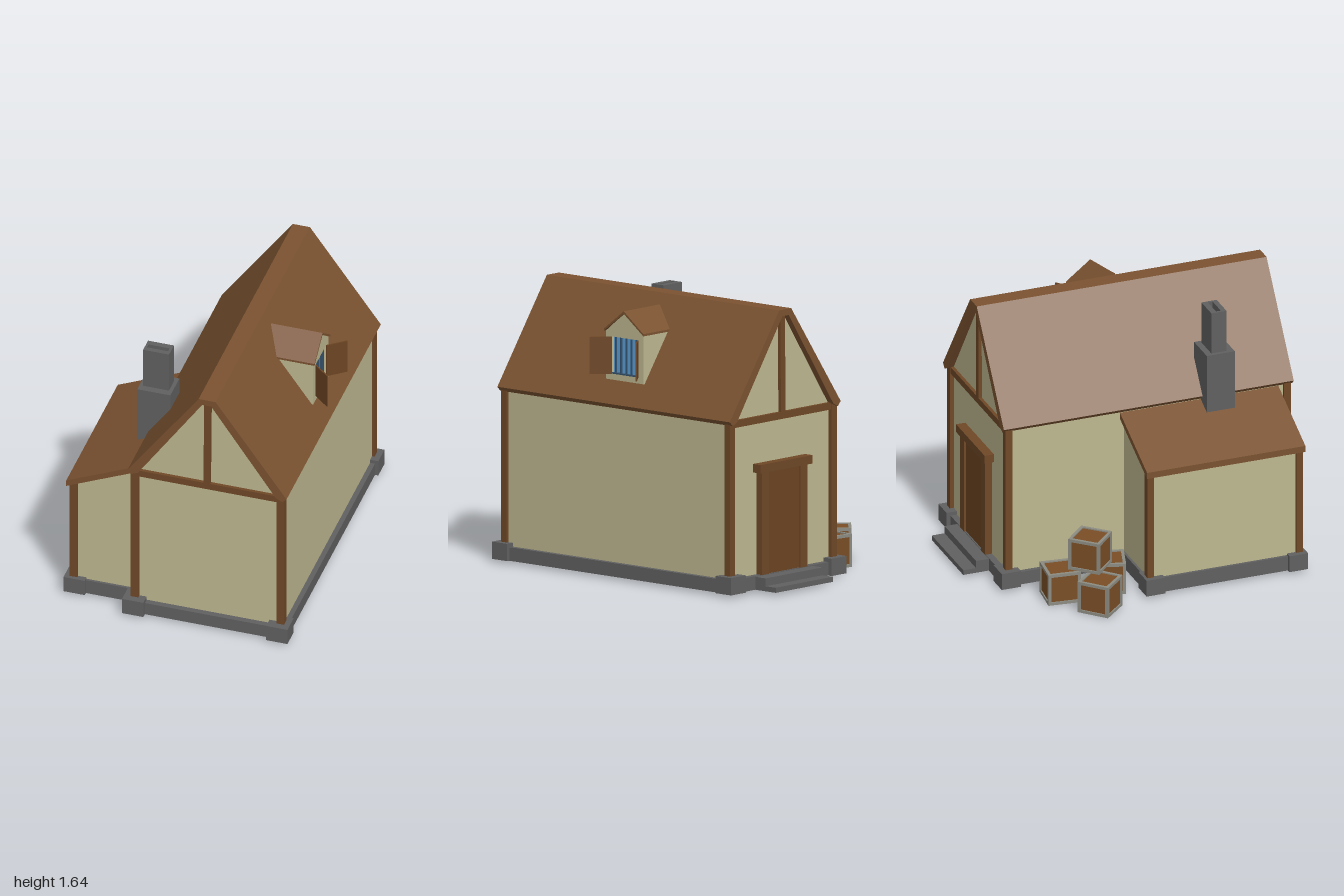
import * as THREE from 'three';

const mat = (color) => new THREE.MeshStandardMaterial({ color });
const M = {
  plaster: mat(0xbdb78f), roof: mat(0x7a5230), beam: mat(0x6f4827), door: mat(0x6b4422),
  stone: mat(0x606060), glass: mat(0x5c9fd6), bars: mat(0x35516b),
  crate: mat(0x7a4e26), trim: mat(0x8c8c82),
};

export function createModel() {
  const root = new THREE.Group();
  root.name = 'cottage';

  const add = (parent, name, geo, material) => {
    const mesh = new THREE.Mesh(geo, material);
    mesh.name = name;
    parent.add(mesh);
    return mesh;
  };
  // Box given by its extents
  const box = (parent, name, material, x0, x1, y0, y1, z0, z1) => {
    const mesh = add(parent, name, new THREE.BoxGeometry(x1 - x0, y1 - y0, z1 - z0), material);
    mesh.position.set((x0 + x1) / 2, (y0 + y1) / 2, (z0 + z1) / 2);
    return mesh;
  };
  const outline = (pts) => new THREE.Shape(pts.map(([x, y]) => new THREE.Vector2(x, y)));
  const extrude = (shape, depth) => new THREE.ExtrudeGeometry(shape, { depth, bevelEnabled: false });
  // Profile in x,y swept between two z values
  const prism = (parent, name, material, pts, z0, z1) => {
    const mesh = add(parent, name, extrude(outline(pts), z1 - z0), material);
    mesh.position.z = z0;
    return mesh;
  };
  const rectHole = (x0, x1, y0, y1) =>
    new THREE.Path([[x0, y0], [x0, y1], [x1, y1], [x1, y0]].map(([x, y]) => new THREE.Vector2(x, y)));

  // Stone base with corner blocks and door steps
  const base = new THREE.Group();
  base.name = 'stoneBase';
  root.add(base);
  box(base, 'mainFoundation', M.stone, -0.21, 0.75, 0.02, 0.1, -0.84, 0.97);
  box(base, 'annexFoundation', M.stone, -0.605, -0.2, 0.02, 0.112, -0.095, 0.875);
  for (const x of [-0.24, 0.64]) for (const z of [-0.865, 0.88])
    box(base, 'cornerBlock', M.stone, x, x + 0.13, 0.02, 0.122, z, z + 0.12);
  for (const z of [-0.113, 0.78])
    box(base, 'annexCornerBlock', M.stone, -0.63, -0.5, 0.02, 0.122, z, z + 0.117);
  box(base, 'upperStep', M.stone, 0.03, 0.53, 0.02, 0.096, -0.92, -0.83);
  box(base, 'lowerStep', M.stone, 0.03, 0.53, 0.02, 0.05, -1, -0.83);

  // Main house: plaster body, timber frame, roof
  prism(root, 'mainWalls', M.plaster,
    [[-0.185, 0.09], [0.72, 0.09], [0.72, 1.025], [0.295, 1.625], [0.24, 1.625], [-0.185, 1.025]],
    -0.8, 0.935);
  for (const x of [-0.2, 0.69]) for (const z of [-0.825, 0.915])
    box(root, 'cornerPost', M.beam, x, x + 0.046, 0.1, 1.035, z, z + 0.043);
  for (const z of [-0.82, 0.92]) {
    box(root, 'crossBeam', M.beam, -0.19, 0.725, 0.993, 1.035, z, z + 0.035);
    prism(root, 'kingPost', M.beam, [[0.242, 1.03], [0.283, 1.03], [0.288, 1.615], [0.248, 1.615]],
      z, z + 0.035);
  }
  prism(root, 'mainRoof', M.roof,
    [[-0.215, 1.038], [-0.19, 1.012], [-0.152, 1.03], [0.24, 1.605], [0.295, 1.605],
      [0.692, 1.03], [0.73, 1.012], [0.755, 1.038], [0.322, 1.643], [0.218, 1.643]], -0.842, 0.97);

  // Annex with a single-slope roof
  prism(root, 'annexWalls', M.plaster,
    [[-0.588, 0.09], [-0.18, 0.09], [-0.18, 0.985], [-0.588, 0.8]], -0.08, 0.86);
  for (const z of [-0.095, 0.835])
    box(root, 'annexPost', M.beam, -0.6, -0.552, 0.1, 0.795, z, z + 0.04);
  prism(root, 'annexRoof', M.roof,
    [[-0.617, 0.773], [-0.185, 0.968], [-0.185, 1.007], [-0.617, 0.812]], -0.105, 0.885);

  // Chimney with an open flue
  box(root, 'chimneyBase', M.stone, -0.282, -0.08, 0.85, 1.328, 0.4, 0.575);
  const flue = outline([[-0.26, -0.532], [-0.102, -0.532], [-0.102, -0.437], [-0.26, -0.437]]);
  flue.holes.push(rectHole(-0.245, -0.117, -0.502, -0.472));
  const stack = add(root, 'chimneyStack', extrude(flue, 0.262), M.stone);
  stack.rotation.x = -Math.PI / 2;
  stack.position.y = 1.325;

  // Rear door
  const door = new THREE.Group();
  door.name = 'door';
  root.add(door);
  box(door, 'doorPanel', M.door, 0.12, 0.44, 0.1, 0.71, -0.832, -0.79);
  for (const x of [0.08, 0.415])
    box(door, 'doorJamb', M.beam, x, x + 0.06, 0.1, 0.712, -0.845, -0.79);
  box(door, 'doorLintel', M.beam, 0.05, 0.505, 0.705, 0.755, -0.858, -0.79);

  // Dormer, modelled facing +z and turned to face +x
  const dormer = new THREE.Group();
  dormer.name = 'dormer';
  dormer.position.z = 0.05;
  dormer.rotation.y = Math.PI / 2;
  root.add(dormer);
  const face = [[-0.147, 1.165], [0.147, 1.165], [0.147, 1.45], [0, 1.57], [-0.147, 1.45]];
  prism(dormer, 'dormerBody', M.plaster, face, 0.4, 0.65);
  const front = outline(face);
  front.holes.push(rectHole(-0.1, 0.1, 1.2, 1.42));
  add(dormer, 'dormerFront', extrude(front, 0.022), M.plaster).position.z = 0.65;
  prism(dormer, 'dormerRoof', M.roof,
    [[-0.153, 1.45], [0, 1.566], [0.153, 1.45], [0.153, 1.463], [0, 1.581], [-0.153, 1.463]], 0.365, 0.682);
  box(dormer, 'windowGlass', M.glass, -0.1, 0.1, 1.2, 1.42, 0.645, 0.654);
  for (let i = -2; i <= 2; i++)
    box(dormer, 'windowBar', M.bars, i * 0.04 - 0.004, i * 0.04 + 0.004, 1.2, 1.42, 0.653, 0.664);
  box(dormer, 'windowSill', M.bars, -0.1, 0.1, 1.2, 1.208, 0.65, 0.672);
  for (const [side, angle] of [[-1, 0.86], [1, 0.66]]) {
    const hinge = new THREE.Group();
    hinge.name = 'shutter';
    hinge.position.set(side * 0.1, 0, 0.672);
    hinge.rotation.y = side * -(Math.PI / 2 - (side < 0 ? Math.PI / 2 - angle : angle));
    dormer.add(hinge);
    box(hinge, 'shutterPanel', M.door, Math.min(0, side * 0.132), Math.max(0, side * 0.132),
      1.2, 1.42, -0.004, 0.004);
  }

  // Stack of crates: panels inside a frame of twelve bars
  const addCrate = (x, y, z, angle) => {
    const crate = new THREE.Group();
    crate.name = 'crate';
    crate.position.set(x, y, z);
    crate.rotation.y = angle;
    root.add(crate);
    const s = 0.196, t = 0.018, o = (s - t) / 2;
    add(crate, 'cratePanels', new THREE.BoxGeometry(s - 0.014, s - 0.014, s - 0.014), M.crate);
    for (const a of [-o, o]) for (const b of [-o, o]) {
      add(crate, 'crateBar', new THREE.BoxGeometry(s, t, t), M.trim).position.set(0, a, b);
      add(crate, 'crateBar', new THREE.BoxGeometry(t, s, t), M.trim).position.set(a, 0, b);
      add(crate, 'crateBar', new THREE.BoxGeometry(t, t, s), M.trim).position.set(a, b, 0);
    }
  };
  addCrate(-0.415, 0.1, -0.568, -0.11);
  addCrate(-0.645, 0.1, -0.41, 0.75);
  addCrate(-0.397, 0.1, -0.262, -0.3);
  addCrate(-0.463, 0.296, -0.4, 0.8);

  return root;
}
